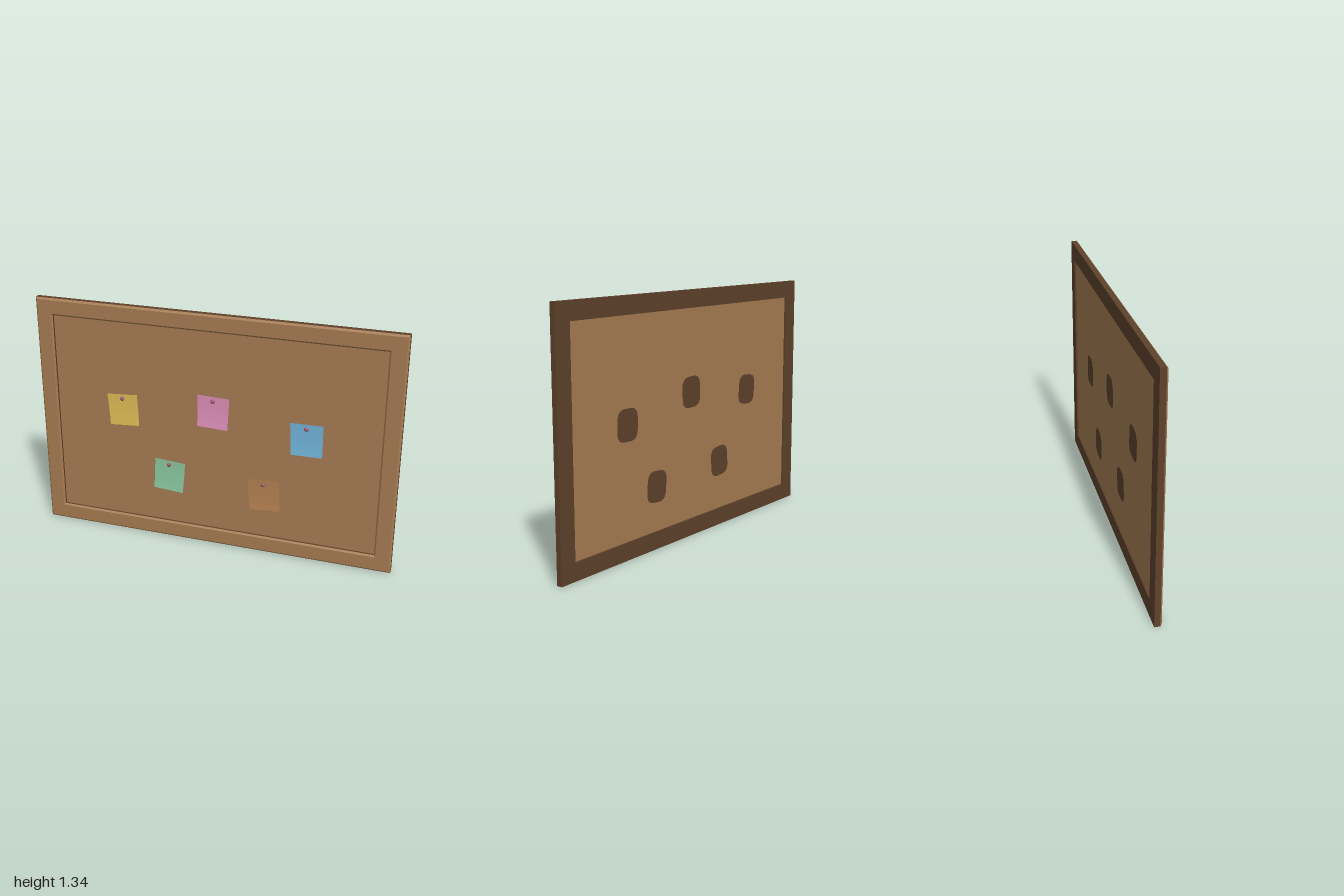
import * as THREE from 'three';

const W = 1, H = 1.335 / 2; // half width and half height

function material(name, color, side = THREE.FrontSide) {
  const m = new THREE.MeshStandardMaterial({ color, side });
  m.name = name;
  return m;
}

function mesh(name, geometry, mat, parent) {
  const m = new THREE.Mesh(geometry, mat);
  m.name = name;
  parent.add(m);
  return m;
}

// Sweeps a profile of [inset, z] points around the rectangle with mitred corners
function frameRing(profile) {
  const corners = [[-1, -1], [1, -1], [1, 1], [-1, 1]];
  const at = ([inset, z], i) => {
    const [sx, sy] = corners[i % 4];
    return [sx * (W - inset), sy * (H - inset), z];
  };
  const pos = [];
  for (let p = 0; p < profile.length - 1; p++) {
    for (let i = 0; i < 4; i++) {
      const a = at(profile[p], i), b = at(profile[p], i + 1);
      const c = at(profile[p + 1], i + 1), d = at(profile[p + 1], i);
      pos.push(...a, ...b, ...c, ...a, ...c, ...d);
    }
  }
  const g = new THREE.BufferGeometry();
  g.setAttribute('position', new THREE.Float32BufferAttribute(pos, 3));
  g.computeVertexNormals();
  return g;
}

// Square sheet, flat at the top and curling forward at the bottom
function sheetGeometry(size) {
  const g = new THREE.PlaneGeometry(size, size, 1, 5);
  const p = g.attributes.position;
  for (let i = 0; i < p.count; i++) {
    const t = 0.5 - p.getY(i) / size;
    p.setZ(i, 0.003 + 0.013 * t * t);
    p.setX(i, p.getX(i) * (1 - 0.04 * t) + 0.004 * t);
  }
  const flat = g.toNonIndexed();
  flat.computeVertexNormals();
  return flat;
}

// Rounded patch that passes through the board behind a sheet
function patchGeometry(w, h, r) {
  const x = w / 2, y = h / 2;
  const s = new THREE.Shape();
  s.moveTo(-x + r, -y);
  s.lineTo(x - r, -y);
  s.quadraticCurveTo(x, -y, x, -y + r);
  s.lineTo(x, y - r);
  s.quadraticCurveTo(x, y, x - r, y);
  s.lineTo(-x + r, y);
  s.quadraticCurveTo(-x, y, -x, y - r);
  s.lineTo(-x, -y + r);
  s.quadraticCurveTo(-x, -y, -x + r, -y);
  return new THREE.ExtrudeGeometry(s, { depth: 0.0118, bevelEnabled: false, curveSegments: 6 });
}

export function createModel() {
  const group = new THREE.Group();
  group.name = 'pinboard';
  const cork = material('cork brown', 0xa67c52);
  const dark = material('dark wood', 0x5e422b);
  const pinRose = material('pin rose', 0x9c5a70);

  const board = new THREE.Group();
  board.name = 'board';
  board.position.y = H;
  group.add(board);

  // Frame: light bevelled face, dark sides and back
  mesh('frameFace', frameRing([[0, 0.011], [0.01, 0.02], [0.085, 0.02], [0.094, 0.012]]), cork, board);
  mesh('frameBody', frameRing([[0.094, 0.012], [0.094, -0.02], [0, -0.02], [0, 0.011]]), dark, board);

  // Cork panel
  mesh('corkPanel', new THREE.BoxGeometry(2 * W - 0.187, 2 * H - 0.187, 0.01), cork, board).position.z = -0.005;

  // Notes: colour name, hex, centre x, centre y, tilt in degrees, patch drop, pin x, pin y
  const notes = [
    ['yellow', 0xdab854, -0.517, 0.74, 4, 0, -0.52, 0.805],
    ['pink', 0xdb8cb5, -0.002, 0.793, -2, 0, 0, 0.857],
    ['blue', 0x6fb1d6, 0.511, 0.706, 1, 0.011, 0.51, 0.77],
    ['green', 0x88c49c, -0.256, 0.379, -4, 0.011, -0.255, 0.445],
    ['orangeBrown', 0xb07e50, 0.288, 0.347, 4, 0.013, 0.285, 0.41],
  ];
  const sheet = sheetGeometry(0.176);
  const patch = patchGeometry(0.15, 0.168, 0.055);
  const pinHead = new THREE.SphereGeometry(0.012, 16, 10);

  for (const [name, hex, x, y, tilt, drop, px, py] of notes) {
    const note = new THREE.Group();
    note.name = name + 'Note';
    note.position.set(x, y, 0);
    note.rotation.z = THREE.MathUtils.degToRad(tilt);
    group.add(note);
    mesh('sheet', sheet, material(name + ' paper', hex, THREE.DoubleSide), note);
    mesh('patch', patch, dark, note).position.set(0, -drop, -0.0111);

    // Push pin
    const pin = mesh(name + 'Pin', pinHead, pinRose, group);
    pin.position.set(px, py, 0.01);
    pin.scale.z = 0.8;
  }
  return group;
}
